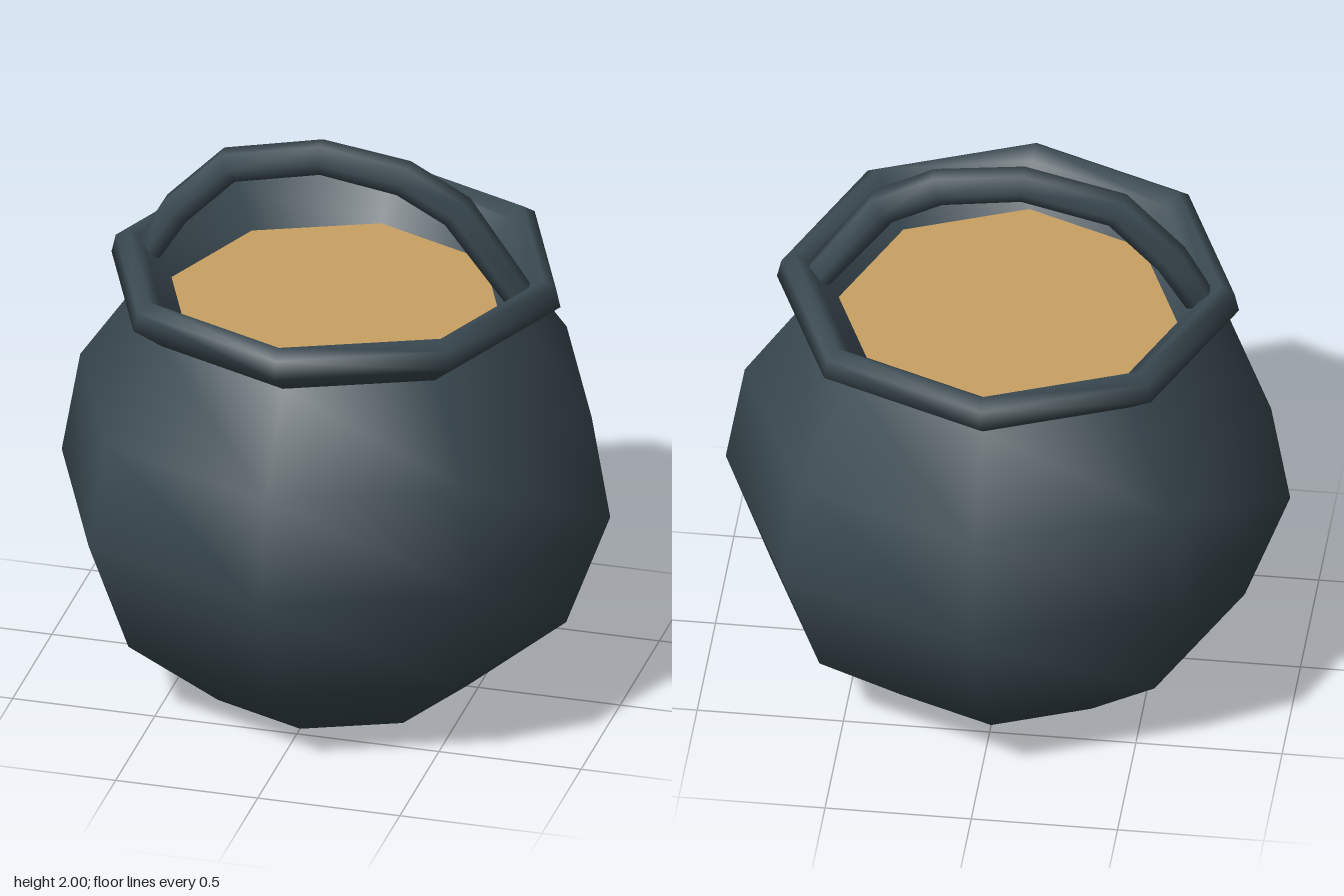
import * as THREE from 'three';

const SIDES = 8;

// Eight-sided turned surface from [radius, height] pairs
function turned(name, profile, material) {
  const points = profile.map(([r, y]) => new THREE.Vector2(r, y));
  const mesh = new THREE.Mesh(new THREE.LatheGeometry(points, SIDES), material);
  mesh.name = name;
  return mesh;
}

// Mitred six-sided bar along points [x, y, z, radius] that bend in the xy plane
function bentBar(path, sides = 6) {
  const positions = [], index = [];
  const P = path.map(([x, y]) => new THREE.Vector2(x, y));
  P.forEach((p, i) => {
    const before = p.clone().sub(P[Math.max(i - 1, 0)]).normalize();
    const after = P[Math.min(i + 1, P.length - 1)].clone().sub(p).normalize();
    const t = before.clone().add(after).normalize();
    const mitre = 1 / t.dot(i > 0 ? before : after);
    const [, , z, r] = path[i];
    for (let j = 0; j < sides; j++) {
      const a = ((j + 0.5) / sides) * Math.PI * 2;
      const up = Math.cos(a) * r * mitre;
      positions.push(p.x - t.y * up, p.y + t.x * up, z + Math.sin(a) * r);
      if (i < P.length - 1) {
        const k = i * sides + j, n = i * sides + ((j + 1) % sides);
        index.push(k, n, k + sides, n, n + sides, k + sides);
      }
    }
  });
  // End caps
  const last = (P.length - 1) * sides;
  for (let j = 1; j < sides - 1; j++) {
    index.push(0, j + 1, j, last, last + j, last + j + 1);
  }
  const geometry = new THREE.BufferGeometry();
  geometry.setAttribute('position', new THREE.Float32BufferAttribute(positions, 3));
  geometry.setIndex(index);
  geometry.computeVertexNormals();
  return geometry;
}

export function createModel() {
  const iron = new THREE.MeshStandardMaterial({ color: 0x3b4a52 });
  iron.name = 'dark iron';
  const broth = new THREE.MeshStandardMaterial({ color: 0xc9a263 });
  broth.name = 'golden broth';

  const model = new THREE.Group();
  model.name = 'cauldron';

  // Round belly with a flat base
  model.add(turned('belly', [
    [0, 0], [0.46, 0], [0.81, 0.29], [0.965, 0.71], [0.9, 1.08], [0.68, 1.4],
  ], iron));

  // Flared lip, rolled over into the inner wall
  model.add(turned('rim', [
    [0.68, 1.4], [0.79, 1.485], [0.775, 1.55], [0.73, 1.58], [0.68, 1.545], [0.575, 1.41],
  ], iron));

  // Liquid surface
  const liquid = new THREE.Mesh(new THREE.CircleGeometry(0.58, SIDES), broth);
  liquid.name = 'liquid';
  liquid.rotation.x = -Math.PI / 2;
  liquid.position.y = 1.415;
  model.add(liquid);

  // Slightly uneven hand-forged handle
  const handle = new THREE.Mesh(bentBar([
    [-0.655, 1.52, 0, 0.055],
    [-0.56, 1.68, 0, 0.06],
    [-0.375, 1.87, 0, 0.06],
    [-0.05, 1.945, 0.005, 0.06],
    [0.24, 1.905, 0.007, 0.062],
    [0.43, 1.805, 0.009, 0.062],
    [0.645, 1.51, 0, 0.054],
  ]), iron);
  handle.name = 'handle';
  model.add(handle);

  return model;
}
